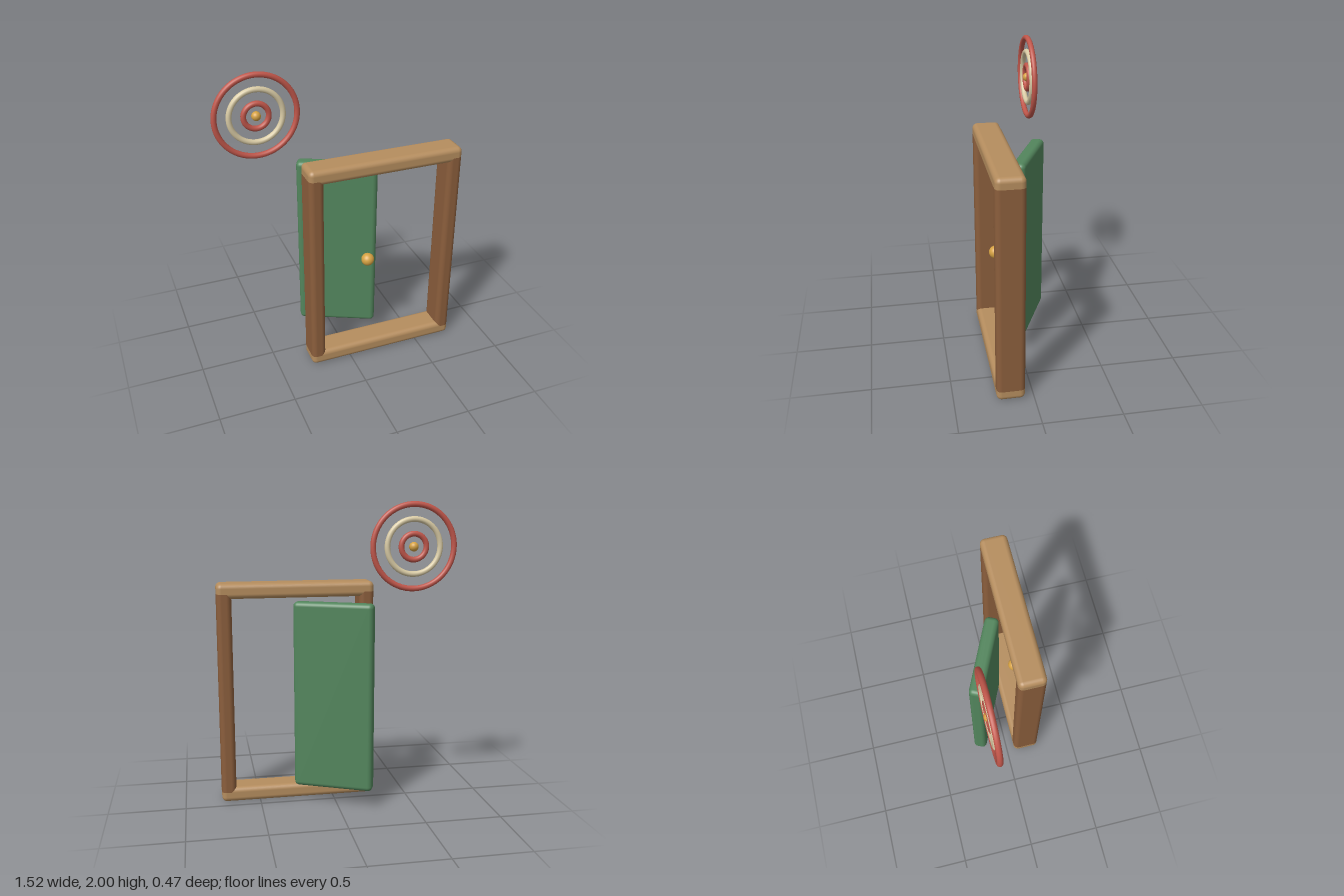
import * as THREE from 'three';
import { RoundedBoxGeometry } from 'three/addons/geometries/RoundedBoxGeometry.js';

function material(name, color) {
  const m = new THREE.MeshStandardMaterial({ color });
  m.name = name;
  return m;
}

export function createModel() {
  const lightWood = material('light wood', 0xb58d5e);
  const darkWood = material('dark wood', 0x8b5e3c);
  const green = material('door green', 0x52855c);
  const red = material('ring red', 0xc0564a);
  const cream = material('ring cream', 0xd8caa4);
  const gold = material('gold', 0xd6a243);

  const model = new THREE.Group();
  model.name = 'doorwayAndTarget';

  function add(parent, name, geometry, mat, x, y, z) {
    const mesh = new THREE.Mesh(geometry, mat);
    mesh.name = name;
    mesh.position.set(x, y, z);
    parent.add(mesh);
    return mesh;
  }
  const rounded = (w, h, d, r) => new RoundedBoxGeometry(w, h, d, 4, r);

  // Door frame: two beams with two posts let into them
  const frame = new THREE.Group();
  frame.name = 'doorFrame';
  frame.position.set(0.239, 0, 0.145);
  model.add(frame);
  add(frame, 'topBeam', rounded(1.037, 0.1, 0.18, 0.033), lightWood, 0, 1.43, 0);
  add(frame, 'bottomBeam', rounded(1.037, 0.1, 0.18, 0.033), lightWood, 0, 0.05, 0);
  for (const side of [-1, 1]) {
    add(frame, side < 0 ? 'rightPost' : 'leftPost',
      rounded(0.097, 1.41, 0.18, 0.033), darkWood, side * 0.47, 0.74, 0);
  }

  // Door standing ajar behind the frame
  const door = add(model, 'door', rounded(0.53, 1.245, 0.092, 0.03), green, 0.02, 0.743, -0.09);
  door.rotation.y = THREE.MathUtils.degToRad(-25);

  // Knob in front of the door
  add(model, 'knob', new THREE.SphereGeometry(0.043, 32, 20), gold, 0.148, 0.723, 0.147);

  // Floating target of three rings and a centre bead
  const target = new THREE.Group();
  target.name = 'target';
  target.position.set(-0.477, 1.718, -0.175);
  model.add(target);
  [['outerRing', 0.264, red], ['middleRing', 0.172, cream], ['innerRing', 0.081, red]]
    .forEach(([name, radius, mat]) =>
      add(target, name, new THREE.TorusGeometry(radius, 0.018, 14, 64), mat, 0, 0, 0));
  add(target, 'centreBead', new THREE.SphereGeometry(0.03, 24, 16), gold, 0, 0, 0);

  return model;
}
